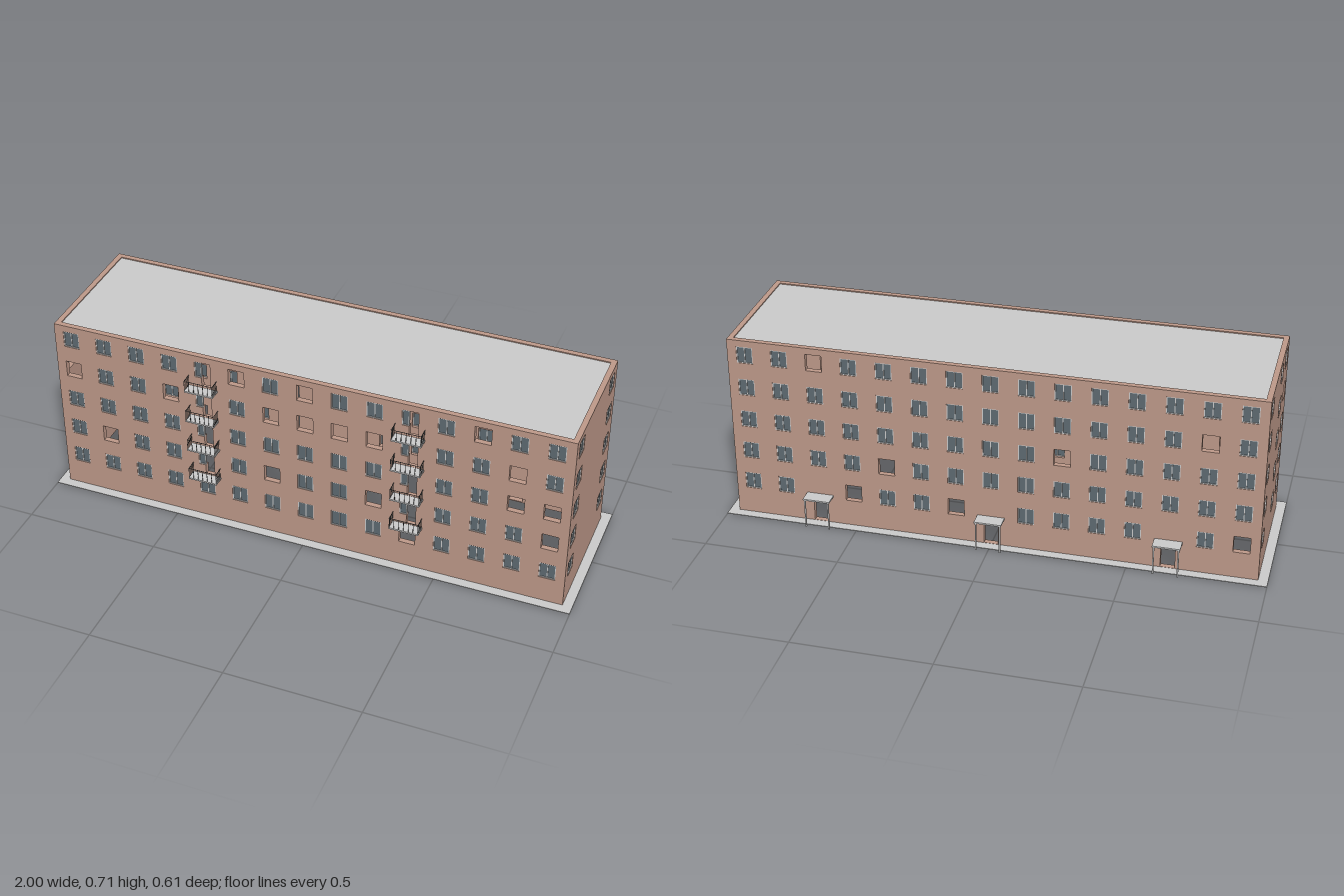
import * as THREE from 'three';
import { mergeGeometries } from 'three/addons/utils/BufferGeometryUtils.js';

const HX = 0.965, HZ = 0.257, H = 0.708, T = 0.02;   // half length, half depth, height, wall thickness
const ROW0 = 0.137, PITCH = 0.1286, WW = 0.06, WH = 0.064;
const rowY = r => ROW0 + (r - 1) * PITCH;             // floors are numbered 1 to 5
const colU = c => (c - 7) * PITCH;                    // bays are numbered 0 to 14

const mat = color => new THREE.MeshStandardMaterial({ color, roughness: 0.9 });
const brick = mat(0xbf9a8a), grey = mat(0xcccccc), glass = mat(0x5f6b72), iron = mat(0x555555);

const box = (w, h, d, x, y, z) => new THREE.BoxGeometry(w, h, d).translate(x, y, z);

function addMerged(parent, name, geos, material) {
  if (!geos.length) return;
  const mesh = new THREE.Mesh(mergeGeometries(geos), material);
  mesh.name = name;
  parent.add(mesh);
}

function polygon(points) {
  return new THREE.Path(points.map(p => new THREE.Vector2(...p)));
}
const rect = (x0, y0, x1, y1) => polygon([[x0, y0], [x0, y1], [x1, y1], [x1, y0]]);

// Flat ring with a rectangular opening, lying on y = y0
function ring(ox, oz, ix, iz, y0, h) {
  const s = new THREE.Shape([[-ox, -oz], [ox, -oz], [ox, oz], [-ox, oz]].map(p => new THREE.Vector2(...p)));
  s.holes.push(rect(-ix, -iz, ix, iz));
  return new THREE.ExtrudeGeometry(s, { depth: h, bevelEnabled: false }).rotateX(-Math.PI / 2).translate(0, y0, 0);
}

// Glazed window: border, centre bar and dark pane
function addWindow(frames, panes, u, y, w, bars) {
  const f = 0.003, d = 0.008, z = T - 0.006;
  panes.push(box(w - f, WH - f, 0.003, u, y, z));
  for (const s of [-1, 1]) {
    frames.push(box(f, WH, d, u + s * (w - f) / 2, y, z));
    frames.push(box(w - 2 * f, f, d, u, y + s * (WH - f) / 2, z));
  }
  if (bars) frames.push(box(f, WH - 2 * f, d, u, y, z));
}

// One wall with its openings; outer face looks along local +z
function makeWall(name, half, columns, { empty = [], balconies = [], doors = [] }) {
  const g = new THREE.Group();
  g.name = name;
  const s = new THREE.Shape([[-half, 0], [half, 0], [half, H], [-half, H]].map(p => new THREE.Vector2(...p)));
  const frames = [], panes = [];
  columns.forEach((u, c) => {
    for (let r = 1; r <= 5; r++) {
      const y = rowY(r), lo = y - WH / 2, hi = y + WH / 2, l = u - WW / 2, e = u + WW / 2;
      if (r === 1 && doors.includes(c)) {
        s.holes.push(rect(u - 0.026, 0.004, u + 0.026, 0.105));
      } else if (r > 1 && balconies.includes(c)) {
        // open door beside a narrow window
        const m = u - 0.004;
        s.holes.push(polygon([[l, lo], [l, hi], [e, hi], [e, lo - 0.04], [m, lo - 0.04], [m, lo]]));
        addWindow(frames, panes, (l + m) / 2, y, m - l, false);
      } else {
        s.holes.push(rect(l, lo, e, hi));
        if (!empty.includes(r * 100 + c)) addWindow(frames, panes, u, y, WW, true);
      }
    }
  });
  addMerged(g, name + 'Bricks', [new THREE.ExtrudeGeometry(s, { depth: T, bevelEnabled: false })], brick);
  addMerged(g, name + 'WindowFrames', frames, grey);
  addMerged(g, name + 'WindowPanes', panes, glass);
  return g;
}

// Slab with a thin railing on three sides
function makeBalcony() {
  const g = new THREE.Group();
  g.name = 'balcony';
  const w = 0.11, d = 0.042, h = 0.044, t = 0.0016, x = w / 2 - t, z = d - t;
  addMerged(g, 'balconySlab', [box(w, 0.006, d, 0, 0, d / 2)], grey);
  const bars = [box(w, t, t, 0, h, z)];
  for (const sx of [-1, 1]) {
    bars.push(box(t, t, d, sx * x, h, d / 2));
    for (let i = 0; i < 5; i++) bars.push(box(t, h, t, sx * x, h / 2, z - i * 0.0087));
  }
  for (let i = 1; i < 6; i++) bars.push(box(t, h, t, -x + i * x / 3, h / 2, z));
  addMerged(g, 'balconyRailing', bars, iron);
  return g;
}

// Flat porch roof on two posts
function makeCanopy() {
  const g = new THREE.Group();
  g.name = 'entranceCanopy';
  addMerged(g, 'canopyRoof', [box(0.1, 0.006, 0.052, 0, 0.115, 0.026)], grey);
  addMerged(g, 'canopyPosts', [-1, 1].map(s => box(0.005, 0.112, 0.005, s * 0.044, 0.056, 0.047)), grey);
  return g;
}

export function createModel() {
  const model = new THREE.Group();
  model.name = 'apartmentBlock';
  const body = new THREE.Group();
  body.name = 'building';
  body.position.z = 0.005;
  model.add(body);

  const bays = Array.from({ length: 15 }, (_, c) => colU(c));

  // Long walls
  const front = makeWall('frontWall', HX, bays, {
    balconies: [4, 10],
    empty: [505, 507, 512, 400, 403, 406, 407, 408, 409, 413, 313, 314, 201, 206, 209, 214, 110],
  });
  front.position.z = HZ - T;
  const back = makeWall('backWall', HX, bays, {
    doors: [2, 7, 12],
    empty: [502, 413, 309, 204, 103, 106, 114],
  });
  back.position.z = -HZ + T;
  back.rotation.y = Math.PI;

  // End walls
  const left = makeWall('leftWall', HZ - T, [-0.193, 0.193], {});
  left.position.x = HX - T;
  left.rotation.y = Math.PI / 2;
  const right = makeWall('rightWall', HZ - T, [-0.193, 0.066, 0.193], { empty: [402] });
  right.position.x = -HX + T;
  right.rotation.y = -Math.PI / 2;
  body.add(front, back, left, right);

  // Balconies and entrance canopies
  for (const c of [4, 10]) {
    for (let r = 2; r <= 5; r++) {
      const b = makeBalcony();
      b.position.set(colU(c), rowY(r) - 0.076, T);
      front.add(b);
    }
  }
  for (const c of [2, 7, 12]) {
    const k = makeCanopy();
    k.position.set(colU(c), 0, T);
    back.add(k);
  }

  // Roof inside the parapet, and pavement around the base
  addMerged(body, 'roof', [box(2 * (HX - T), 0.006, 2 * (HZ - T), 0, H - 0.007, 0)], grey);
  addMerged(body, 'pavement', [ring(1, 0.292, HX, HZ, 0, 0.003)], grey);
  return model;
}
